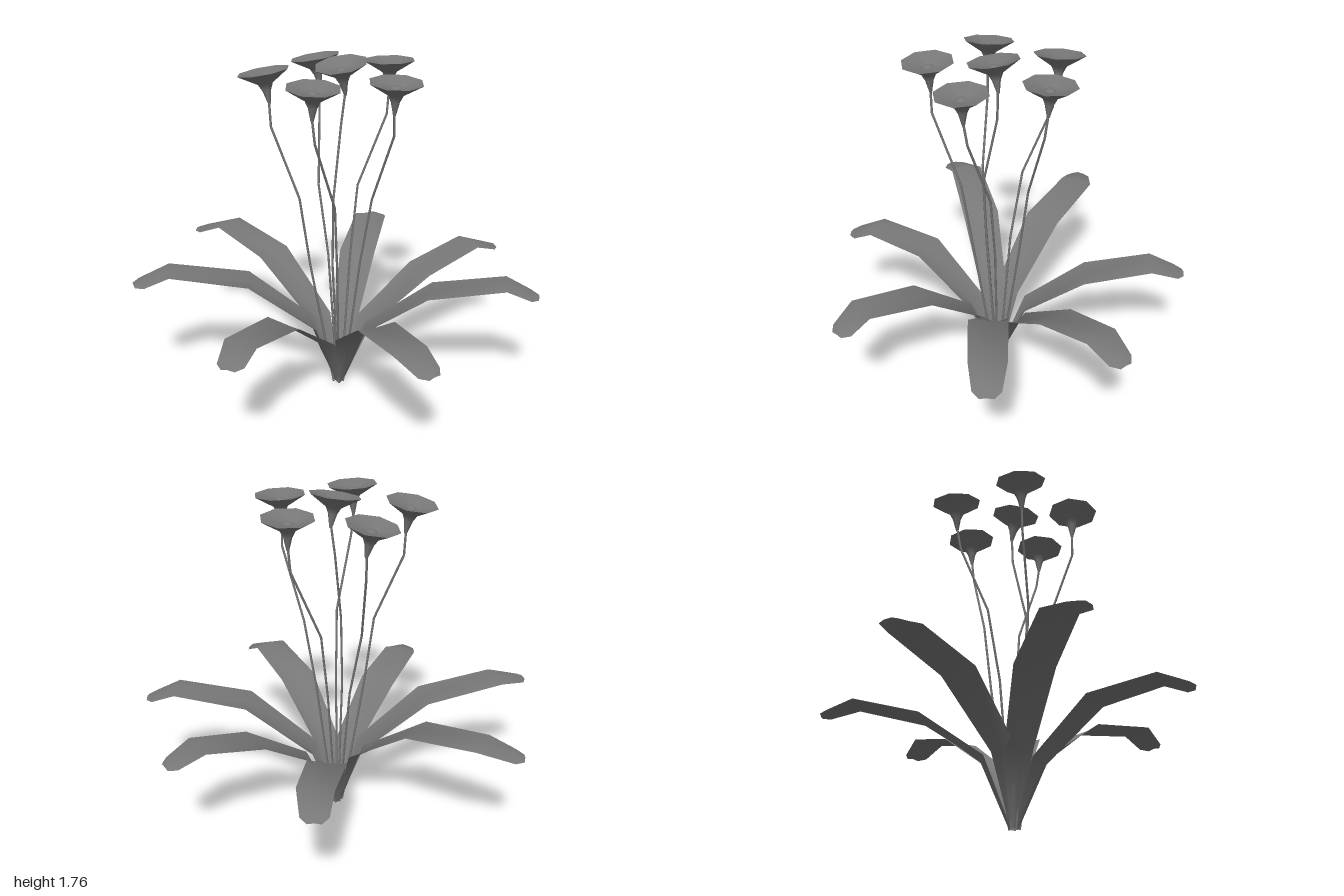
import * as THREE from 'three';

const material = new THREE.MeshStandardMaterial({ color: 0x787878, side: THREE.DoubleSide });
const UP = new THREE.Vector3(0, 1, 0);
const ROOT = new THREE.Vector3(0, 0, 0.03);
const vec = (p) => new THREE.Vector3(...p);

// Each leaf: centre line points at the first bend, middle, crest and tip
const LEAVES = [
  [[-0.02, 0.33, -0.13], [-0.075, 0.555, -0.42], [-0.12, 0.66, -0.75], [-0.165, 0.595, -0.92]],
  [[0.11, 0.32, -0.10], [0.32, 0.56, -0.34], [0.515, 0.665, -0.585], [0.63, 0.605, -0.72]],
  [[0.14, 0.32, 0.01], [0.47, 0.60, -0.04], [0.83, 0.685, -0.13], [0.99, 0.62, -0.165]],
  [[0.10, 0.32, 0.13], [0.32, 0.57, 0.34], [0.56, 0.64, 0.57], [0.70, 0.575, 0.645]],
  [[-0.03, 0.30, 0.18], [-0.12, 0.55, 0.45], [-0.18, 0.615, 0.76], [-0.165, 0.56, 0.915]],
  [[-0.13, 0.34, 0.09], [-0.42, 0.62, 0.23], [-0.77, 0.705, 0.41], [-0.90, 0.655, 0.54]],
  [[-0.13, 0.34, 0.00], [-0.45, 0.62, -0.12], [-0.79, 0.70, -0.25], [-0.99, 0.635, -0.23]],
];

// Each flower: centre of the bloom, its facing direction, then stem bends from low to high
const FLOWERS = [
  [[-0.23, 1.69, -0.22], [-0.18, 1, 0], [[-0.08, 0.72, -0.02], [-0.15, 1.08, -0.065], [-0.20, 1.43, -0.20]]],
  [[0.15, 1.70, -0.25], [-0.03, 1, -0.04], [[0.015, 0.72, -0.09], [0.035, 1.08, -0.135], [0.15, 1.44, -0.23]]],
  [[0.015, 1.73, 0.04], [-0.09, 1, 0.17], [[-0.01, 0.72, 0.09], [0, 1.08, 0.10], [0.01, 1.44, 0.025]]],
  [[-0.33, 1.69, 0.15], [-0.18, 1, 0], [[-0.12, 0.72, 0.12], [-0.16, 1.08, 0.145], [-0.30, 1.43, 0.15]]],
  [[0.31, 1.69, 0.11], [0.05, 1, 0.03], [[0.11, 0.73, 0.015], [0.17, 1.08, 0.02], [0.30, 1.44, 0.09]]],
  [[0.015, 1.695, 0.355], [0.07, 1, 0.04], [[0.04, 0.73, 0.15], [0.05, 1.08, 0.20], [0.015, 1.44, 0.345]]],
];

// Strap leaf: three points per station, channelled at the base and arched towards the tip
function leafGeometry(points) {
  const [bend, middle, crest, tip] = points.map(vec);
  const base = ROOT.clone().lerp(new THREE.Vector3(bend.x, 0, bend.z), 0.15);
  const shoulder = crest.clone().lerp(tip, 0.8);
  const line = [base, bend, middle, crest, shoulder, tip];
  const halfWidths = [0.016, 0.07, 0.098, 0.088, 0.066, 0.033];
  const arches = [-0.012, -0.025, -0.006, 0.012, 0.014, 0.008];
  const positions = [];
  const index = [];
  line.forEach((p, i) => {
    const along = line[Math.min(i + 1, 5)].clone().sub(line[Math.max(i - 1, 0)]).normalize();
    const side = UP.clone().cross(along).normalize();
    const edge = p.clone().addScaledVector(along.cross(side), -arches[i]);
    const left = edge.clone().addScaledVector(side, -halfWidths[i]);
    const right = edge.clone().addScaledVector(side, halfWidths[i]);
    for (const q of [left, p, right]) positions.push(q.x, q.y, q.z);
    if (i === 0) return;
    for (let k = 0; k < 2; k++) {
      const a = (i - 1) * 3 + k;
      index.push(a, a + 4, a + 1, a, a + 3, a + 4);
    }
  });
  const geometry = new THREE.BufferGeometry();
  geometry.setAttribute('position', new THREE.Float32BufferAttribute(positions, 3));
  geometry.setIndex(index);
  geometry.computeVertexNormals();
  return geometry;
}

function addMesh(parent, geometry, name) {
  const mesh = new THREE.Mesh(geometry, material);
  mesh.name = name;
  parent.add(mesh);
  return mesh;
}

// Thin straight stem piece between two points
function addStemPiece(parent, from, to) {
  const direction = to.clone().sub(from);
  const piece = addMesh(parent, new THREE.CylinderGeometry(0.006, 0.006, direction.length(), 5, 1, true), 'stemPiece');
  piece.position.copy(from).lerp(to, 0.5);
  piece.quaternion.setFromUnitVectors(UP, direction.normalize());
}

// Trumpet bloom, measured down from the rim centre, with a shallow dish and a small round eye
const profile = (pts) => pts.map(([r, y]) => new THREE.Vector2(r, y));
const trumpetGeometry = new THREE.LatheGeometry(
  profile([[0.007, -0.15], [0.022, -0.085], [0.038, -0.052], [0.128, 0.005]]), 8);
const dishGeometry = new THREE.LatheGeometry(profile([[0, -0.028], [0.128, 0.005]]), 8);
const eyeGeometry = new THREE.SphereGeometry(0.027, 10, 4, 0, Math.PI * 2, 0, Math.PI / 2);

export function createModel() {
  const model = new THREE.Group();
  model.name = 'floweringPlant';

  const leaves = new THREE.Group();
  leaves.name = 'leaves';
  model.add(leaves);
  for (const points of LEAVES) addMesh(leaves, leafGeometry(points), 'leaf');

  for (const [centre, facing, bends] of FLOWERS) {
    const flower = new THREE.Group();
    flower.name = 'flower';
    model.add(flower);

    const normal = vec(facing).normalize();
    const neck = vec(centre).addScaledVector(normal, -0.14);
    const foot = ROOT.clone().lerp(new THREE.Vector3(bends[0][0], 0, bends[0][2]), 0.2);
    const path = [foot, ...bends.map(vec), neck];
    const stem = new THREE.Group();
    stem.name = 'stem';
    flower.add(stem);
    for (let i = 1; i < path.length; i++) addStemPiece(stem, path[i - 1], path[i]);

    const bloom = new THREE.Group();
    bloom.name = 'bloom';
    bloom.position.set(...centre);
    bloom.quaternion.setFromUnitVectors(UP, normal);
    flower.add(bloom);
    addMesh(bloom, trumpetGeometry, 'trumpet');
    addMesh(bloom, dishGeometry, 'dish');
    const eye = addMesh(bloom, eyeGeometry, 'eye');
    eye.position.y = -0.025;
    eye.scale.y = 0.5;
  }
  return model;
}
